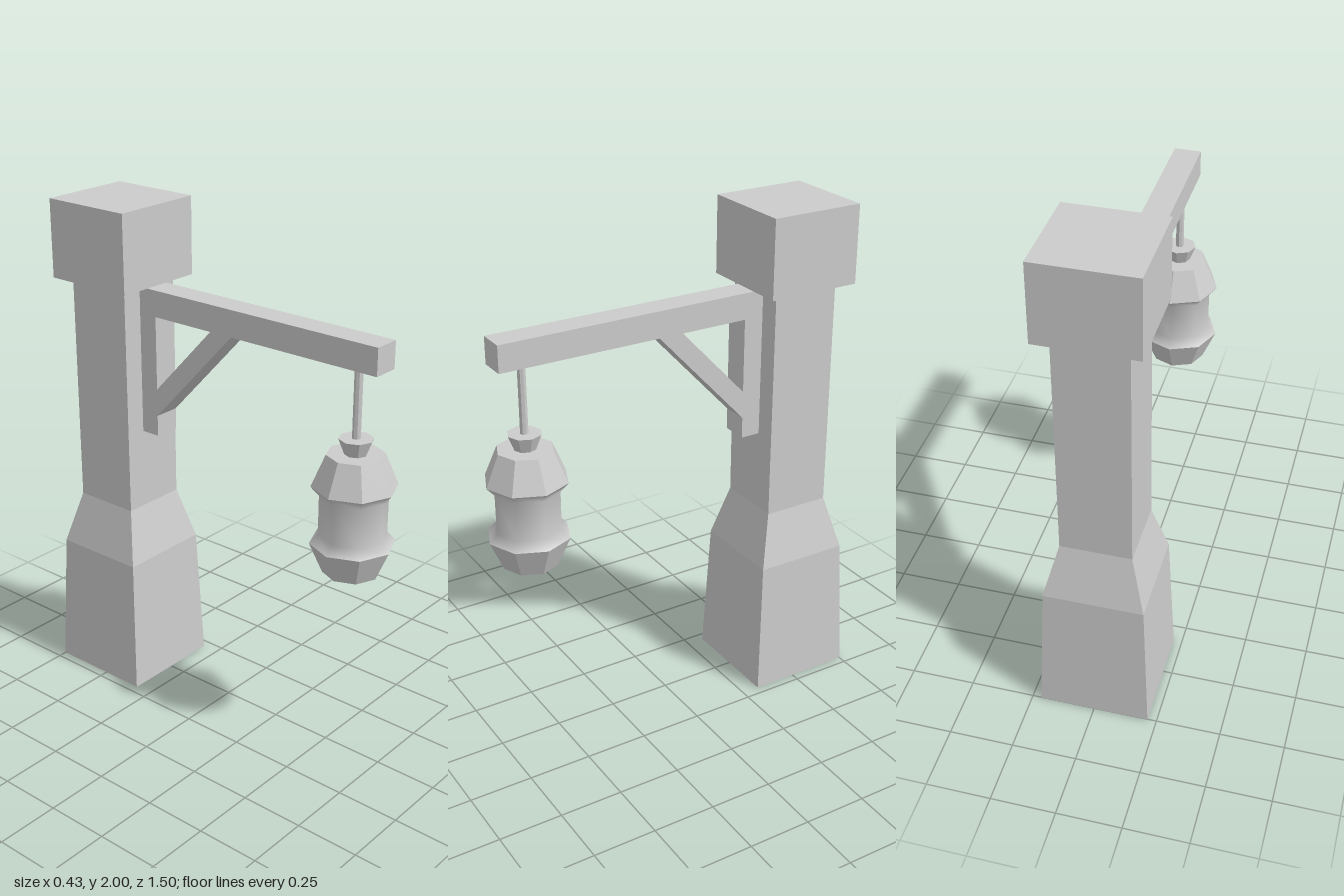
import * as THREE from 'three';

const flat = new THREE.MeshStandardMaterial({ color: 0xcccccc, flatShading: true, side: THREE.DoubleSide });
const smooth = new THREE.MeshStandardMaterial({ color: 0xcccccc, side: THREE.DoubleSide });

const POST_Z = -0.5375;
const LAMP_Z = 0.59;
const BEAM_W = 0.106;

function add(parent, name, geometry, material = flat) {
  const mesh = new THREE.Mesh(geometry, material);
  mesh.name = name;
  parent.add(mesh);
  return mesh;
}

// Box given by its width and its y and z ranges
function box(parent, name, width, y0, y1, z0, z1) {
  const mesh = add(parent, name, new THREE.BoxGeometry(width, y1 - y0, z1 - z0));
  mesh.position.set(0, (y0 + y1) / 2, (z0 + z1) / 2);
  return mesh;
}

// Turned profile of [radius, y] pairs, listed from bottom to top
function turned(profile, sides, phiStart = 0) {
  return new THREE.LatheGeometry(profile.map(([r, y]) => new THREE.Vector2(r, y)), sides, phiStart);
}

export function createModel() {
  const model = new THREE.Group();
  model.name = 'lampPost';

  // Square post with a flared foot, open underneath
  const half = [[0.215, 0], [0.193, 0.55], [0.137, 0.765], [0.137, 1.695]];
  const post = add(model, 'post', turned(half.map(([r, y]) => [r * Math.SQRT2, y]), 4, Math.PI / 4));
  post.position.z = POST_Z;

  // Block on top of the post
  box(model, 'postCap', 0.38, 1.69, 2, POST_Z - 0.19, POST_Z + 0.19);

  // Arm, wall plate and diagonal brace
  box(model, 'arm', BEAM_W, 1.58, 1.685, -0.4, 0.7);
  box(model, 'wallPlate', BEAM_W, 1.09, 1.58, -0.4, -0.32);
  const braceSide = new THREE.Shape([[0.055, 1.58], [-0.045, 1.58], [-0.32, 1.285], [-0.32, 1.175]]
    .map(([z, y]) => new THREE.Vector2(z, y)));
  const brace = new THREE.ExtrudeGeometry(braceSide, { depth: BEAM_W, bevelEnabled: false });
  brace.rotateY(-Math.PI / 2).translate(BEAM_W / 2, 0, 0);
  add(model, 'brace', brace);

  // Hanging eight-sided lantern
  const lantern = new THREE.Group();
  lantern.name = 'lantern';
  lantern.position.z = LAMP_Z;
  model.add(lantern);

  const rod = add(lantern, 'hangingRod', new THREE.CylinderGeometry(0.016, 0.016, 0.28, 8));
  rod.position.y = 1.445;
  add(lantern, 'collar', turned([[0.04, 1.245], [0.065, 1.31], [0, 1.31]], 8));
  add(lantern, 'lanternRoof', turned([[0.16, 1.127], [0.108, 1.25], [0, 1.25]], 8));
  add(lantern, 'lanternGlass', turned([[0.16, 0.9], [0.128, 0.935], [0.128, 1.09], [0.16, 1.127]], 8), smooth);
  add(lantern, 'lanternBase', turned([[0, 0.78], [0.108, 0.78], [0.16, 0.9]], 8));

  return model;
}
